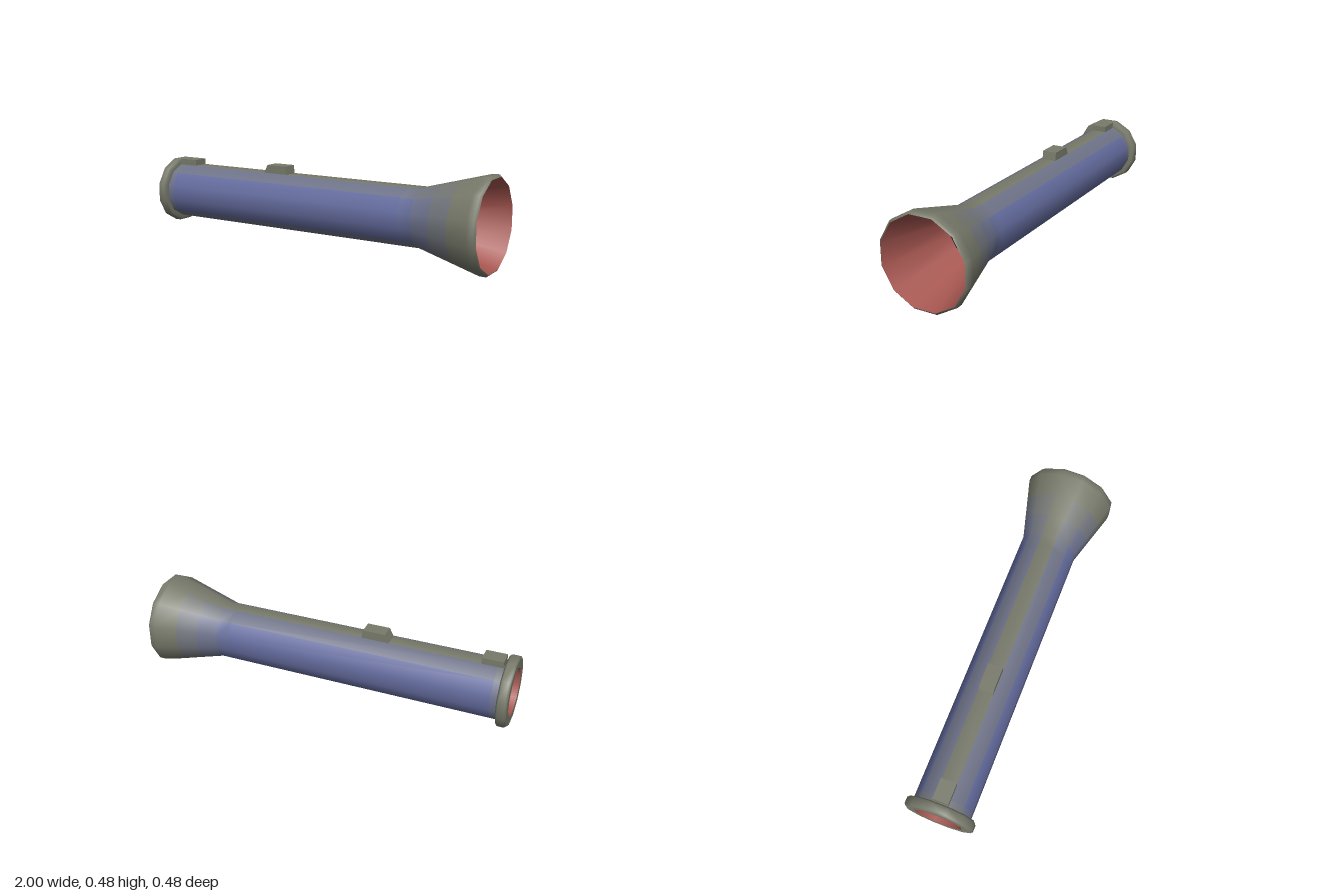
import * as THREE from 'three';

const AXIS_Y = 0.245;
const SIDES = 12;
const OLIVE = 0x787a6b, BLUE = 0x646c9e, RED = 0xa65650, BLACK = 0x101010;

const paint = (color) => new THREE.MeshStandardMaterial({ color });
const mix = (a, b, t) => new THREE.Color(a).lerp(new THREE.Color(b), t).getHex();

// Twelve-sided turned surface lying along x; profile points are [x, radius]
function turned(profile) {
  const points = profile.map(([x, r]) => new THREE.Vector2(r, x));
  return new THREE.LatheGeometry(points, SIDES, Math.PI / SIDES)
    .rotateZ(-Math.PI / 2)
    .translate(0, AXIS_Y, 0);
}

function addPart(group, name, geometry, color) {
  const mesh = new THREE.Mesh(geometry, paint(color));
  mesh.name = name;
  group.add(mesh);
}

// Splits a turned surface into one mesh per colour, keeping its smooth normals
function addPainted(group, name, profile, colorOf) {
  const part = new THREE.Group();
  part.name = name;
  const geometry = turned(profile);
  const index = geometry.index.array;
  const rings = profile.length - 1;
  const byColor = new Map();
  for (let side = 0; side < SIDES; side++) {
    for (let ring = 0; ring < rings; ring++) {
      const color = colorOf(side, ring);
      if (!byColor.has(color)) byColor.set(color, []);
      const start = (side * rings + ring) * 6;
      byColor.get(color).push(...index.slice(start, start + 6));
    }
  }
  for (const [color, faces] of byColor) {
    const piece = geometry.clone();
    piece.setIndex(faces);
    addPart(part, name + 'Panels', piece, color);
  }
  group.add(part);
}

// Block on top of the tube: side outline in x/y, extruded across z
function addBlock(group, name, outline, width) {
  const shape = new THREE.Shape(outline.map(([x, y]) => new THREE.Vector2(x, y)));
  const geometry = new THREE.ExtrudeGeometry(shape, { depth: width, bevelEnabled: false });
  addPart(group, name, geometry.translate(0, 0, -width / 2), OLIVE);
}

export function createModel() {
  const model = new THREE.Group();
  model.name = 'flaredTube';

  // Tube and flared muzzle: blue flanks fading to olive on top, underneath and at the flare
  const body = [
    [-0.96, 0.157], [-0.91, 0.157], [0.55, 0.157], [0.62, 0.157],
    [0.73, 0.1875], [0.84, 0.218], [0.955, 0.25], [0.99, 0.25], [1, 0.239],
  ];
  const ringBlue = [0.6, 1, 0.9, 0.6, 0.3, 0, 0, 0];
  const sideBlue = [1, 0.5, 0, 0.5, 1, 1, 1, 0.5, 0, 0.5, 1, 1];
  addPainted(model, 'body', body, (side, ring) => mix(OLIVE, BLUE, ringBlue[ring] * sideBlue[side]));

  // Bevelled collar round the rear end
  addPart(model, 'rearCollar', turned([
    [-1, 0.129], [-1, 0.176], [-1, 0.178], [-0.99, 0.189], [-0.955, 0.189],
    [-0.945, 0.178], [-0.945, 0.155],
  ]), OLIVE);

  // Red linings of the muzzle and the rear opening
  addPart(model, 'muzzleLining', turned([[1, 0.239], [0.6, 0.129]]), RED);
  addPart(model, 'rearLining', turned([[-0.86, 0.129], [-1, 0.129]]), RED);

  // Dark discs closing the bore
  addPart(model, 'muzzleDisc', turned([[0.6, 0.129], [0.6, 0]]), BLACK);
  addPart(model, 'rearDisc', turned([[-0.86, 0], [-0.86, 0.129]]), BLACK);

  // Blocks along the top
  addBlock(model, 'rearBlock', [[-0.938, 0.38], [-0.827, 0.38], [-0.827, 0.429], [-0.938, 0.429]], 0.085);
  addBlock(model, 'sightBlock', [
    [-0.335, 0.38], [-0.188, 0.38], [-0.188, 0.4], [-0.194, 0.441], [-0.315, 0.441], [-0.335, 0.4],
  ], 0.08);

  return model;
}
